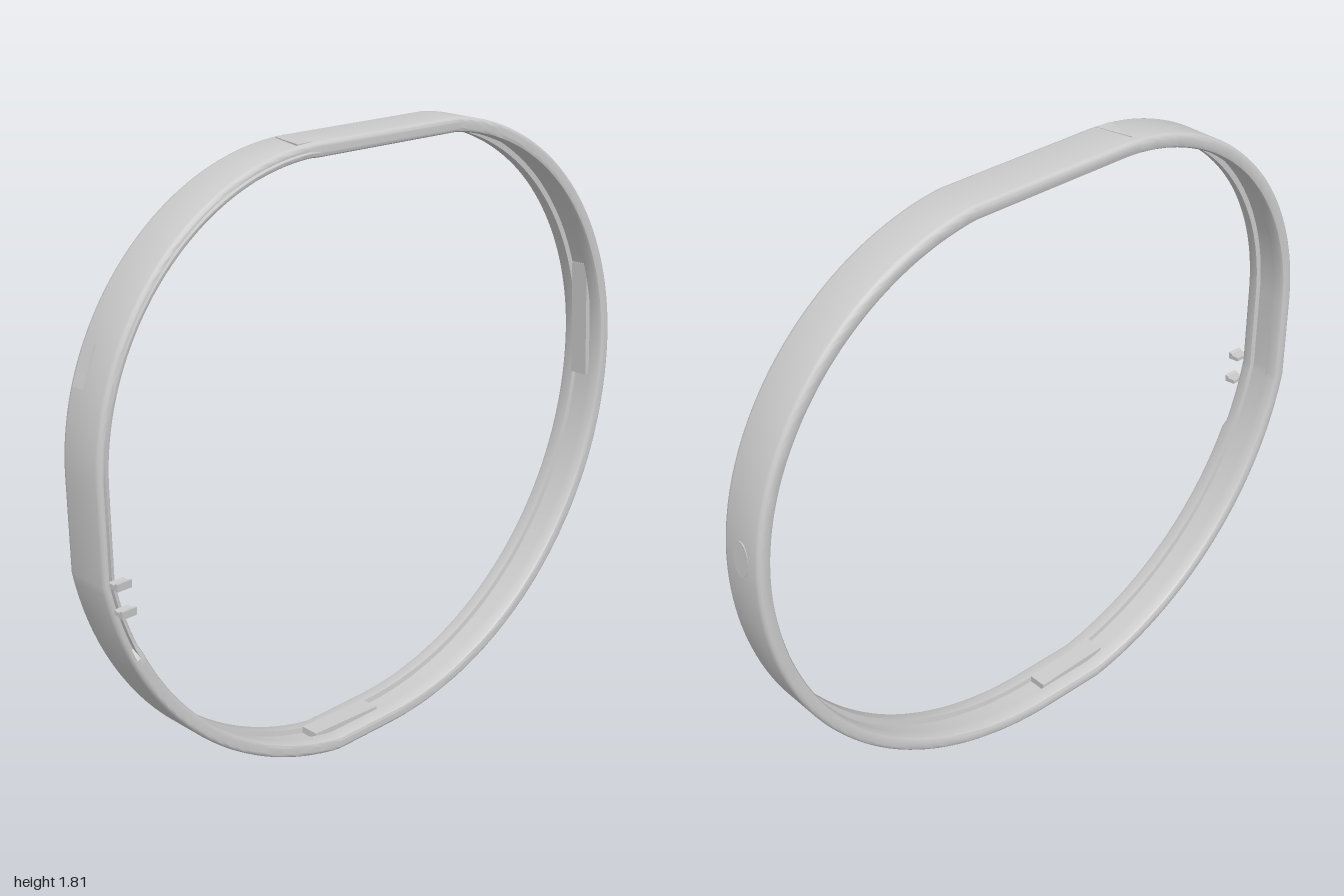
import * as THREE from 'three';
import { toCreasedNormals } from 'three/addons/utils/BufferGeometryUtils.js';

const mat = new THREE.MeshStandardMaterial({ color: 0xcccccc });

// Outline of the band in the z-y plane, running over the top and down the front
function outline() {
  const pts = [];
  const add = (z, y) => {
    const p = new THREE.Vector2(z, y);
    if (!pts.length || pts[pts.length - 1].distanceTo(p) > 0.004) pts.push(p);
  };
  const arc = (cz, cy, rz, ry, from, to, n = 48) => {
    for (let i = 0; i <= n; i++) {
      const a = THREE.MathUtils.degToRad(from + (to - from) * i / n);
      add(cz + rz * Math.cos(a), cy + ry * Math.sin(a));
    }
  };
  arc(0.25, 1.06, 0.75, 0.75, 90, 0);              // upper front
  arc(0.03, 0.97, 0.985, 0.985, -9.9, -80.1);      // lower front
  arc(-0.01, 0.98, 0.99, 0.98, -90, -180);         // lower back
  arc(-0.17, 0.98, 0.83, 0.83, 180, 96.9);         // upper back
  return pts;
}

// Cross-section as [x, depth inward]; w opens the groove in the left edge
function section(w) {
  const g = 0.02 * w, s = 0.008 * w;
  return [
    [-0.080, 0], [0.040, 0], [0.048, 0.002], [0.053, 0.007],
    [0.055, 0.013], [0.055, 0.014], [0.055 - g, 0.015], [0.055 - g, 0.027],
    [0.055 - s, 0.028], [0.055 - s, 0.031], [0.052 - s, 0.038], [0.045 - s, 0.042],
    [0.012, 0.042], [0.010, 0.026], [-0.050, 0.026], [-0.052, 0.042],
    [-0.085, 0.042], [-0.092, 0.038], [-0.095, 0.031],
    [-0.095, 0.013], [-0.093, 0.007], [-0.088, 0.002],
  ];
}

// Sweep the section around the closed outline
function bandGeometry() {
  const path = outline(), n = path.length, pos = [], idx = [];
  const m = section(0).length;
  path.forEach((p, i) => {
    const t0 = p.clone().sub(path[(i + n - 1) % n]).normalize();
    const t1 = path[(i + 1) % n].clone().sub(p).normalize();
    const t = t0.add(t1).normalize();
    const inZ = t.y, inY = -t.x;
    const w = p.x > 0.27 && p.y > 0.57 ? 1 : 0;
    for (const [x, d] of section(w)) pos.push(x, p.y + inY * d, p.x + inZ * d);
  });
  for (let i = 0; i < n; i++) {
    for (let j = 0; j < m; j++) {
      const i2 = (i + 1) % n, j2 = (j + 1) % m;
      const a = i * m + j, b = i2 * m + j, c = i * m + j2, d = i2 * m + j2;
      idx.push(a, b, c, b, d, c);
    }
  }
  const geo = new THREE.BufferGeometry();
  geo.setAttribute('position', new THREE.Float32BufferAttribute(pos, 3));
  geo.setIndex(idx);
  return toCreasedNormals(geo, 0.6);
}

export function createModel() {
  const group = new THREE.Group();
  const add = (name, geo, x, y, z, rx = 0) => {
    const mesh = new THREE.Mesh(geo, mat);
    mesh.name = name;
    mesh.position.set(x, y, z);
    mesh.rotation.x = rx;
    group.add(mesh);
    return mesh;
  };

  add('band', bandGeometry(), 0, 0, 0);

  // Rectangular button on the upper front
  add('frontButton', new THREE.BoxGeometry(0.042, 0.115, 0.012), -0.055, 1.345, 0.94, -0.39);

  // Oval button on the back
  const oval = add('backButton', new THREE.CylinderGeometry(1, 1, 1, 40), -0.02, 1.05, -0.991, Math.PI / 2 + 0.08);
  oval.scale.set(0.032, 0.014, 0.052);

  // Hooked clips on the left edge
  const hook = new THREE.Shape([[0, 0], [0.036, -0.004], [0.038, 0.018], [0.026, 0.016], [0.024, 0.011], [0, 0.012]]
    .map(([x, y]) => new THREE.Vector2(x, y)));
  const hookGeo = new THREE.ExtrudeGeometry(hook, { depth: 0.045, bevelEnabled: false });
  add('upperClip', hookGeo, 0.05, 0.802, 0.941);
  add('lowerClip', hookGeo, 0.05, 0.722, 0.93);

  // Inner pads at the back and bottom
  add('backPad', new THREE.BoxGeometry(0.058, 0.37, 0.018), -0.02, 1.065, -0.944, 0.05);
  add('bottomPad', new THREE.BoxGeometry(0.058, 0.022, 0.25), -0.02, 0.043, 0.13, -0.04);

  // Small pointed seam piece at the upper end of the groove
  const wedge = new THREE.Shape([[-0.07, 0.295], [0.04, 0.32], [0.04, 0.27]]
    .map(([x, z]) => new THREE.Vector2(x, z)));
  const wedgeGeo = new THREE.ExtrudeGeometry(wedge, { depth: 0.008, bevelEnabled: false });
  add('seamPiece', wedgeGeo, 0, 1.811, 0, Math.PI / 2);

  return group;
}
